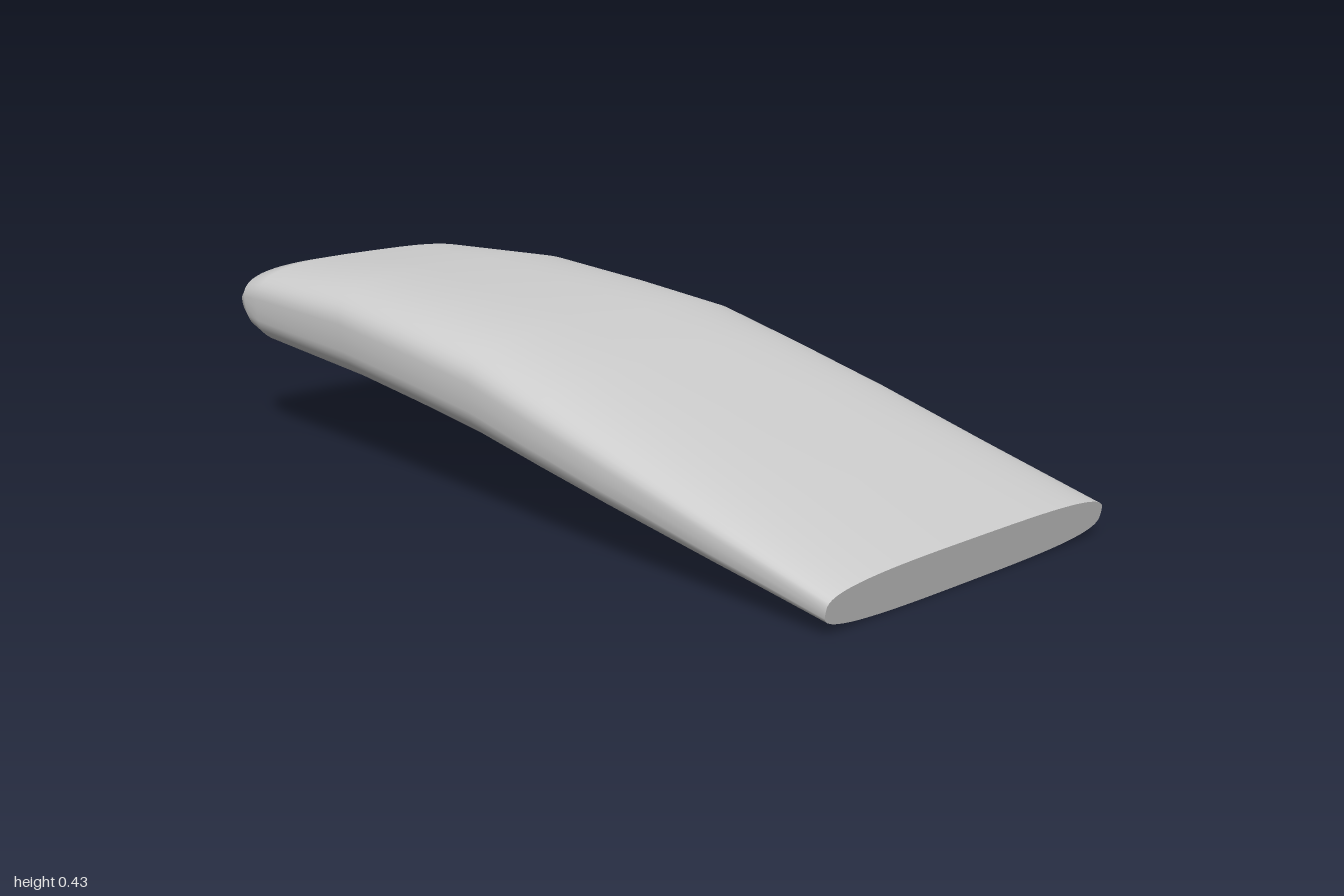
import * as THREE from 'three';

// Stations along the shell: [xTop, yTop, xBottom, yBottom, halfWidth]
const STATIONS = [
  [-1.0, 0.335, -0.995, 0.305, 0.305],
  [-0.985, 0.365, -0.95, 0.265, 0.337],
  [-0.96, 0.403, -0.91, 0.227, 0.35],
  [-0.88, 0.42, -0.87, 0.207, 0.357],
  [-0.53, 0.432, -0.45, 0.18, 0.388],
  [-0.25, 0.407, -0.22, 0.16, 0.407],
  [0.0, 0.38, 0.0, 0.135, 0.42],
  [0.22, 0.322, 0.2, 0.107, 0.43],
  [0.45, 0.26, 0.4, 0.078, 0.435],
  [0.75, 0.17, 0.7, 0.037, 0.435],
  [1.0, 0.095, 0.98, 0.0, 0.435],
];
const SIDES = 64;
const ROUNDNESS = 2 / 3.3;

const power = (v) => Math.sign(v) * Math.abs(v) ** ROUNDNESS;

// Rounded-rectangle cross-section, sheared so its top and bottom meet the profile
function section([xt, yt, xb, yb, w]) {
  return Array.from({ length: SIDES }, (_, j) => {
    const a = (j / SIDES) * Math.PI * 2;
    const k = (power(Math.sin(a)) + 1) / 2;
    return new THREE.Vector3(xb + (xt - xb) * k, yb + (yt - yb) * k, w * power(Math.cos(a)));
  });
}

function makeGeometry(points, index) {
  const g = new THREE.BufferGeometry().setFromPoints(points);
  g.setIndex(index);
  g.computeVertexNormals();
  return g;
}

// Smooth skin through all sections
function loft(stations) {
  const index = [];
  for (let i = 0; i < stations.length - 1; i++) {
    for (let j = 0; j < SIDES; j++) {
      const n = (j + 1) % SIDES;
      const a = i * SIDES + j, b = a + SIDES, c = i * SIDES + n, d = c + SIDES;
      index.push(a, b, c, b, d, c);
    }
  }
  return makeGeometry(stations.flatMap(section), index);
}

// Flat fan closing one end, with its own normals for a sharp rim
function cap(station, facesLeft) {
  const ring = section(station);
  const [xt, yt, xb, yb] = station;
  const index = [];
  for (let j = 0; j < SIDES; j++) {
    const n = (j + 1) % SIDES;
    index.push(SIDES, facesLeft ? n : j, facesLeft ? j : n);
  }
  return makeGeometry([...ring, new THREE.Vector3((xt + xb) / 2, (yt + yb) / 2, 0)], index);
}

export function createModel() {
  const group = new THREE.Group();
  group.name = 'curvedPanel';
  const grey = new THREE.MeshStandardMaterial({ color: 0xcccccc });
  grey.name = 'light grey';

  const add = (name, geometry) => {
    const mesh = new THREE.Mesh(geometry, grey);
    mesh.name = name;
    group.add(mesh);
  };
  add('shell', loft(STATIONS));
  add('thickEnd', cap(STATIONS[0], false));
  add('thinEnd', cap(STATIONS[STATIONS.length - 1], true));
  return group;
}
